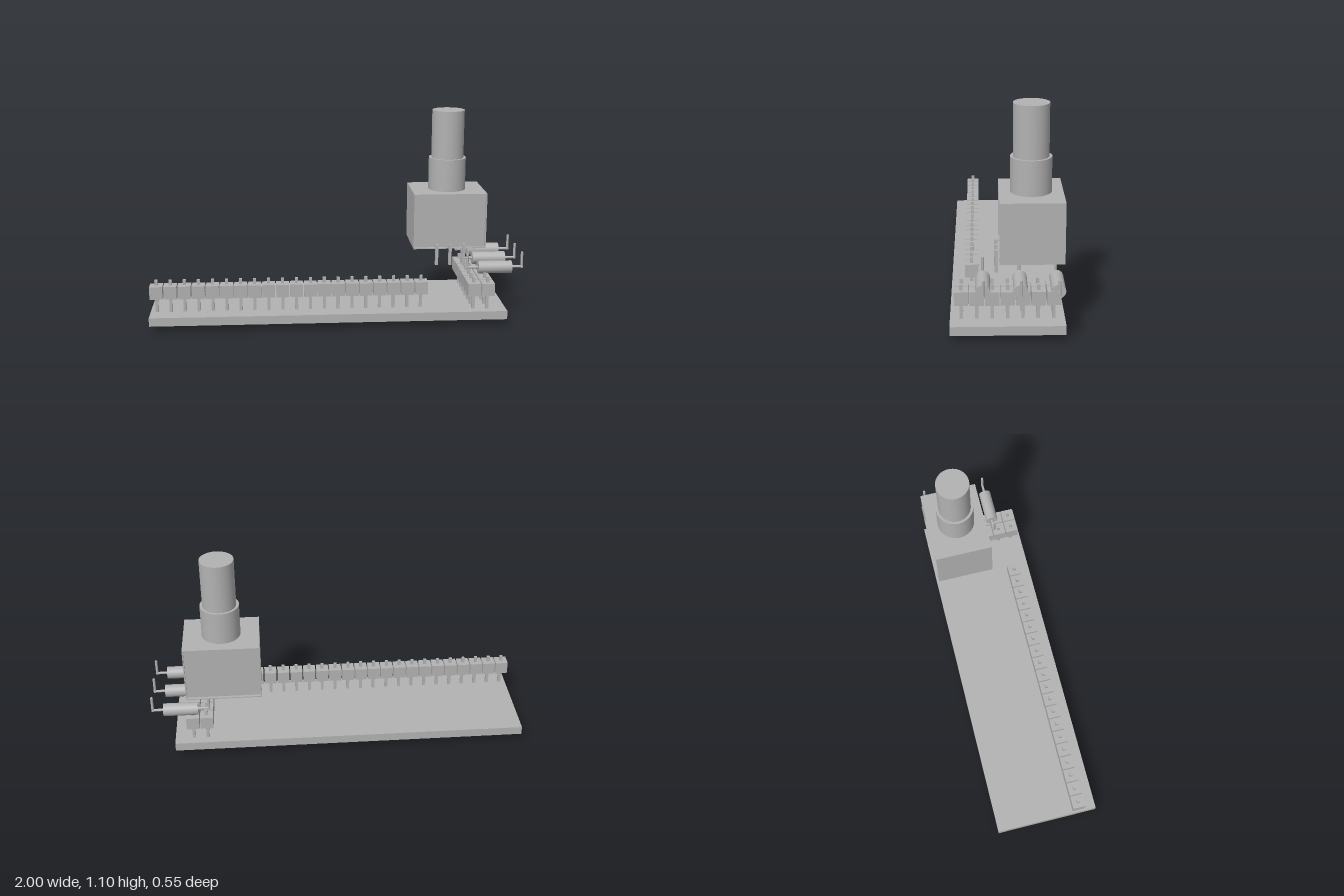
import * as THREE from 'three';

export function createModel() {
  const model = new THREE.Group();
  model.name = 'controlBoard';
  const grey = new THREE.MeshStandardMaterial({ color: 0xb2b2b2 });
  grey.name = 'plain grey';

  const group = (name) => {
    const g = new THREE.Group();
    g.name = name;
    model.add(g);
    return g;
  };
  const put = (parent, name, geometry, x, y, z) => {
    const mesh = new THREE.Mesh(geometry, grey);
    mesh.name = name;
    mesh.position.set(x, y, z);
    parent.add(mesh);
    return mesh;
  };
  // Box given by its limits on each axis
  const box = (parent, name, x0, x1, y0, y1, z0, z1) =>
    put(parent, name, new THREE.BoxGeometry(x1 - x0, y1 - y0, z1 - z0),
      (x0 + x1) / 2, (y0 + y1) / 2, (z0 + z1) / 2);

  // Circuit board
  box(model, 'circuitBoard', -1, 0.887, 0.035, 0.081, -0.276, 0.277);

  // Pin headers: a square block on a long pin
  const pitch = 0.074;
  const blockGeometry = new THREE.BoxGeometry(0.068, 0.069, 0.068);
  const pinGeometry = new THREE.BoxGeometry(0.016, 0.231, 0.016);
  const headerPin = (parent, x, z) => {
    put(parent, 'headerBlock', blockGeometry, x, 0.193, z);
    put(parent, 'headerPin', pinGeometry, x, 0.1405, z);
  };
  const longHeader = group('longHeader');
  for (let i = 0; i < 20; i++) headerPin(longHeader, -0.966 + i * 0.0738, 0.174);
  const doubleHeader = group('doubleHeader');
  for (let row = -3; row <= 3; row++) {
    for (const x of [0.712, 0.786]) headerPin(doubleHeader, x, row * pitch);
  }

  // Rotary control: housing with recessed front and back, stepped shaft, three legs
  const control = group('rotaryControl');
  const [x0, x1, y0, y1, z0, z1] = [0.412, 0.808, 0.361, 0.665, -0.272, 0.039];
  const rim = 0.006, recess = 0.014;
  box(control, 'housingCore', x0 + rim, x1 - rim, y0 + rim, y1 - rim, z0 + recess, z1 - recess);
  const outline = new THREE.Shape([[x0, y0], [x1, y0], [x1, y1], [x0, y1]]
    .map(([x, y]) => new THREE.Vector2(x, y)));
  outline.holes.push(new THREE.Path([
    [x0 + rim, y0 + rim], [x0 + rim, y1 - rim], [x1 - rim, y1 - rim], [x1 - rim, y0 + rim],
  ].map(([x, y]) => new THREE.Vector2(x, y))));
  put(control, 'housingShell',
    new THREE.ExtrudeGeometry(outline, { depth: z1 - z0, bevelEnabled: false }), 0, 0, z0);
  put(control, 'shaftCollar', new THREE.CylinderGeometry(0.101, 0.101, 0.176, 48), 0.61, 0.752, -0.116);
  put(control, 'shaft', new THREE.CylinderGeometry(0.0875, 0.0875, 0.26, 48), 0.61, 0.97, -0.116);
  for (const x of [0.537, 0.61, 0.684]) {
    box(control, 'controlLeg', x - 0.008, x + 0.008, 0.275, 0.39, 0.044, 0.061);
  }

  // Resistors lying along x with upturned wire ends
  const bodyGeometry = new THREE.CylinderGeometry(0.034, 0.034, 0.182, 32).rotateZ(Math.PI / 2);
  const leadGeometry = new THREE.CylinderGeometry(0.007, 0.007, 0.31, 12).rotateZ(Math.PI / 2);
  const endGeometry = new THREE.CylinderGeometry(0.007, 0.007, 0.087, 12);
  for (const z of [0.118, -0.058, -0.233]) {
    const resistor = group('resistor');
    put(resistor, 'resistorBody', bodyGeometry, 0.843, 0.278, z);
    put(resistor, 'resistorLead', leadGeometry, 0.843, 0.278, z);
    for (const x of [0.695, 0.991]) put(resistor, 'leadEnd', endGeometry, x, 0.315, z);
  }

  // Chip under the board, with a marker dot and two rows of legs
  const chip = group('chip');
  box(chip, 'chipBody', -0.466, -0.176, 0.003, 0.035, -0.105, 0.048);
  put(chip, 'chipMarker', new THREE.CylinderGeometry(0.008, 0.008, 0.003, 20), -0.19, 0.0015, -0.087);
  for (let i = 0; i < 14; i++) {
    const x = -0.451 + i * 0.02;
    for (const [a, b] of [[-0.127, -0.105], [0.048, 0.067]]) {
      box(chip, 'chipLeg', x - 0.005, x + 0.005, 0.026, 0.031, a, b);
    }
    box(chip, 'chipFoot', x - 0.005, x + 0.005, 0.029, 0.035, -0.127, -0.119);
    box(chip, 'chipFoot', x - 0.005, x + 0.005, 0.029, 0.035, 0.059, 0.067);
  }

  // Small surface parts under the board
  const surfaceParts = group('surfaceParts');
  const smallPart = (x, z) =>
    box(surfaceParts, 'surfacePart', x - 0.026, x + 0.026, 0.018, 0.035, z - 0.012, z + 0.012);
  for (let i = 0; i < 6; i++) smallPart(0.225 - i * 0.0728, -0.117);
  for (let i = 0; i < 3; i++) smallPart(-0.7 - i * 0.088, 0.015);

  return model;
}
